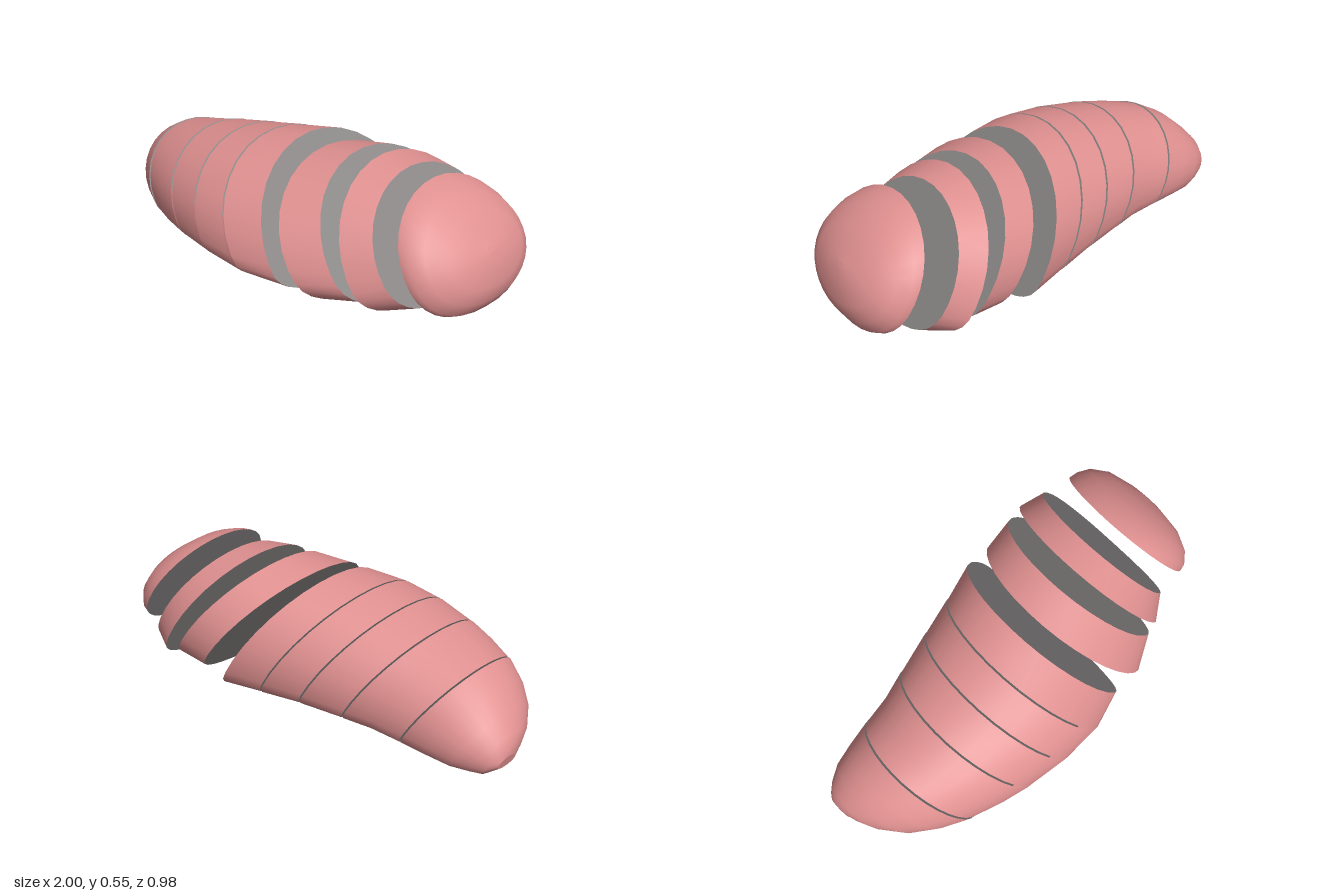
import * as THREE from 'three';

// Slanted cross-sections: [bottom x, bottom y, top x, top y, back z, front z,
// height ratio of the widest point, roundness of the underside]
const BODY = [
  [-0.985, 0.065, -1.0, 0.12, -0.1, 0.01, 0.45, 1],
  [-0.92, 0.012, -0.998, 0.155, -0.135, 0.08, 0.43, 0.9],
  [-0.87, 0.008, -0.98, 0.2, -0.163, 0.16, 0.4, 0.8],
  [-0.79, 0.005, -0.93, 0.26, -0.2, 0.255, 0.36, 0.75],
  [-0.68, 0.009, -0.86, 0.325, -0.22, 0.33, 0.32, 0.72],
  [-0.555, 0.018, -0.76, 0.38, -0.24, 0.39, 0.29, 0.7],
  [-0.41, 0.025, -0.64, 0.415, -0.262, 0.435, 0.27, 0.7],
  [-0.28, 0.03, -0.52, 0.448, -0.3, 0.465, 0.26, 0.7],
  [-0.075, 0.03, -0.335, 0.488, -0.355, 0.49, 0.26, 0.7],
  [0.12, 0.015, -0.17, 0.52, -0.405, 0.483, 0.26, 0.7],
  [0.31, 0.0, 0.0, 0.545, -0.46, 0.425, 0.27, 0.72],
];
const SLICE_A = [
  [0.47, 0.01, 0.11, 0.52, -0.455, 0.43, 0.34, 0.75],
  [0.62, 0.03, 0.27, 0.545, -0.475, 0.345, 0.34, 0.75],
];
const SLICE_B = [
  [0.68, 0.01, 0.375, 0.55, -0.493, 0.325, 0.34, 0.75],
  [0.79, 0.04, 0.51, 0.535, -0.455, 0.25, 0.4, 0.8],
];
const END = [
  [0.93, 0.06, 0.65, 0.54, -0.418, 0.245, 0.44, 0.85],
  [0.957, 0.075, 0.7, 0.53, -0.412, 0.238, 0.44, 0.88],
  [0.987, 0.125, 0.77, 0.503, -0.38, 0.2, 0.45, 0.95],
  [0.997, 0.19, 0.85, 0.45, -0.31, 0.12, 0.47, 1],
  [0.976, 0.275, 0.91, 0.38, -0.2, 0.0, 0.5, 1],
  [0.956, 0.318, 0.942, 0.341, -0.12, -0.08, 0.5, 1],
];
const SEGMENTS = 32;
const STEP = Math.PI * 2 / SEGMENTS;
const GAP = 0.0045;

// Domed outline with a flatter underside, lying in the slanted plane
function sectionPoint([xb, yb, xt, yt, z0, z1, wide, under], a) {
  const c = Math.cos(a), s = Math.sin(a);
  const e = s > 0 ? 1 : under;
  const v = s > 0 ? wide + (1 - wide) * s : wide * (1 - (-s) ** e);
  const z = (z0 + z1) / 2 + (z1 - z0) / 2 * Math.sign(c) * Math.abs(c) ** e;
  return [xb + (xt - xb) * v, yb + (yt - yb) * v, z];
}

const shift = (row, dx) => [row[0] + dx, row[1], row[2] + dx, ...row.slice(3)];

function makeGeometry(points, index) {
  const g = new THREE.BufferGeometry();
  g.setAttribute('position', new THREE.Float32BufferAttribute(points.flat(), 3));
  g.setIndex(index);
  g.computeVertexNormals();
  return g;
}

// Skin through the sections, over n steps of the outline (all steps close it)
function skinGeometry(rows, first = 0, n = SEGMENTS) {
  const count = n === SEGMENTS ? n : n + 1;
  const points = [], index = [];
  rows.forEach((row, i) => {
    for (let j = 0; j < count; j++) points.push(sectionPoint(row, (first + j) * STEP));
    if (i === rows.length - 1) return;
    for (let j = 0; j < n; j++) {
      const a = i * count + j, c = i * count + (j + 1) % count;
      index.push(a, a + count, c, a + count, c + count, c);
    }
  });
  return makeGeometry(points, index);
}

// Flat fan over one section, facing the -x side or the +x side
function capGeometry(row, facesStart) {
  const points = [], index = [];
  for (let j = 0; j < SEGMENTS; j++) points.push(sectionPoint(row, j * STEP));
  const centre = [0, 1, 2].map(k => points.reduce((sum, p) => sum + p[k], 0) / SEGMENTS);
  points.push(centre);
  for (let j = 0; j < SEGMENTS; j++) {
    const k = (j + 1) % SEGMENTS;
    index.push(SEGMENTS, facesStart ? j : k, facesStart ? k : j);
  }
  return makeGeometry(points, index);
}

export function createModel() {
  const model = new THREE.Group();
  model.name = 'slicedRoast';
  const skin = new THREE.MeshStandardMaterial({ name: 'pinkSkin', color: 0xe09090 });
  const cut = new THREE.MeshStandardMaterial({ name: 'greyCutFace', color: 0x8e8a8a });

  function addMesh(parent, name, geometry, material) {
    const mesh = new THREE.Mesh(geometry, material);
    mesh.name = name;
    parent.add(mesh);
  }

  // One piece of the roast; uncut tips are closed in skin colour
  function addPiece(name, rows, startCut, endCut) {
    const piece = new THREE.Group();
    piece.name = name;
    addMesh(piece, 'skin', skinGeometry(rows), skin);
    addMesh(piece, startCut ? 'startCutFace' : 'tip', capGeometry(rows[0], true), startCut ? cut : skin);
    addMesh(piece, endCut ? 'endCutFace' : 'tip', capGeometry(rows[rows.length - 1], false), endCut ? cut : skin);
    model.add(piece);
  }

  // Main body, parted by narrow knife cuts
  const cuts = [0, 5, 7, 8, 9, 10];
  for (let i = 0; i < cuts.length - 1; i++) {
    const rows = BODY.slice(cuts[i], cuts[i + 1] + 1);
    const last = rows.length - 1;
    if (i > 0) rows[0] = shift(rows[0], GAP);
    if (i < cuts.length - 2) rows[last] = shift(rows[last], -GAP);
    addPiece('bodySection' + (i + 1), rows, i > 0, true);
  }

  // Uncut strips of skin joining the front of the body
  for (const i of [7, 8, 9]) {
    const rows = [shift(BODY[i], -GAP), shift(BODY[i], GAP)];
    addMesh(model, 'joiningSkin', skinGeometry(rows, -3, 5), skin);
  }

  // Separate slices and the rounded end
  addPiece('innerSlice', SLICE_A, true, true);
  addPiece('outerSlice', SLICE_B, true, true);
  addPiece('endPiece', END, true, false);
  return model;
}
